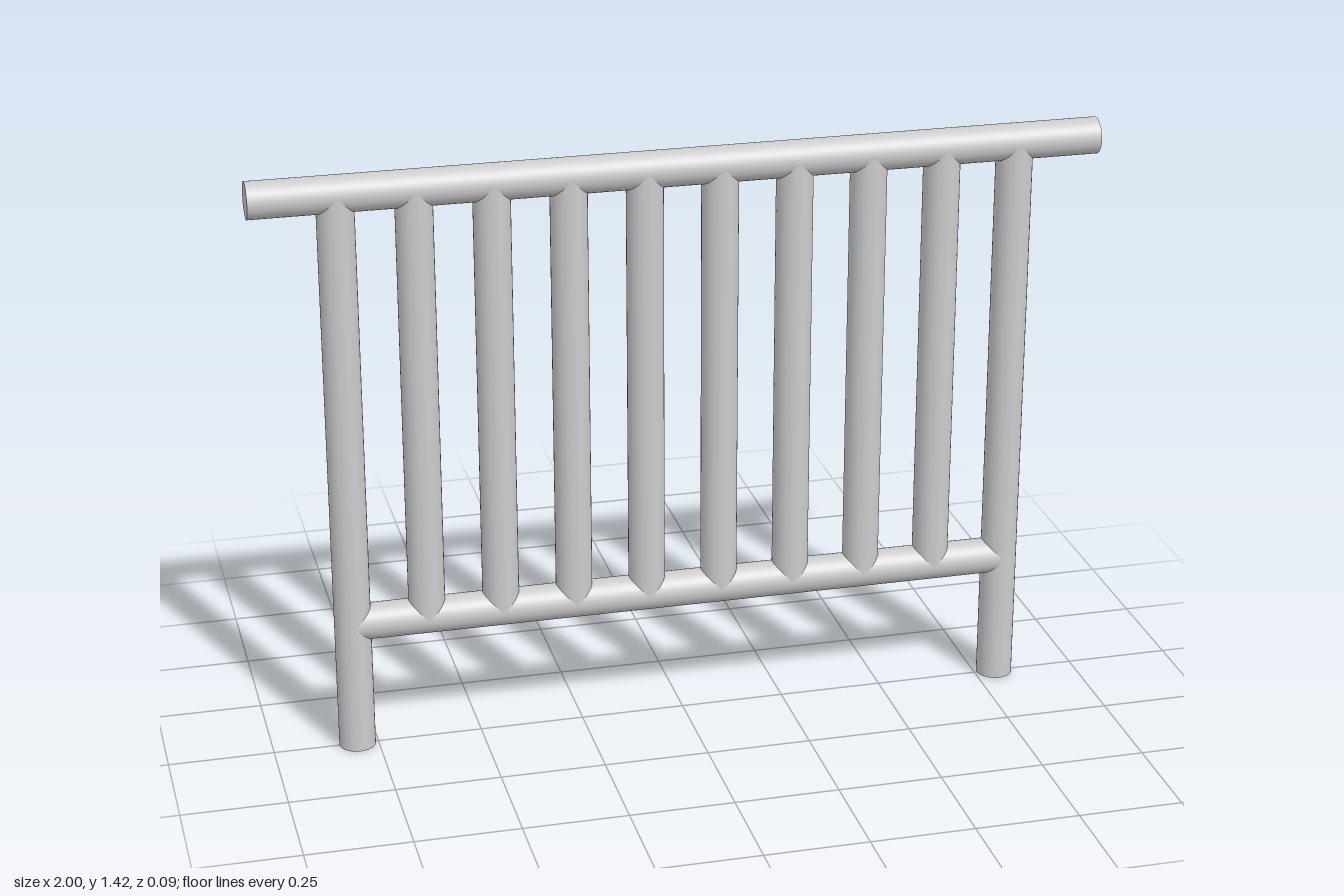
import * as THREE from 'three';

const R = 0.0435;      // shared pipe radius
const TOP = 1.38;      // top rail axis height
const LOW = 0.32;      // bottom rail axis height
const POST_X = 0.8;    // post axis distance from the centre
const BAYS = 9;        // gaps between uprights

const material = new THREE.MeshStandardMaterial({ color: 0xcccccc });

// Pipe along y from y0 to y1. A coped end is saddle-cut to fit an equal pipe
// crossing along x, and stays open because it meets that pipe's surface.
function pipe(name, y0, y1, copeStart, copeEnd) {
  const length = y1 - y0;
  const open = copeStart && copeEnd;
  const geometry = new THREE.CylinderGeometry(R, R, length, 32, 1, open);
  const p = geometry.attributes.position;
  for (let i = 0; i < p.count; i++) {
    const x = Math.abs(p.getX(i));
    if (p.getY(i) > 0 && copeEnd) p.setY(i, length / 2 - x);
    if (p.getY(i) < 0 && copeStart) p.setY(i, -length / 2 + x);
  }
  geometry.translate(0, (y0 + y1) / 2, 0);
  const mesh = new THREE.Mesh(geometry, material);
  mesh.name = name;
  return mesh;
}

export function createModel() {
  const group = new THREE.Group();
  group.name = 'railing';

  // Horizontal rails
  const topRail = pipe('topRail', -1, 1, false, false);
  topRail.rotation.z = Math.PI / 2;
  topRail.position.y = TOP;
  const bottomRail = pipe('bottomRail', -POST_X, POST_X, true, true);
  bottomRail.rotation.z = Math.PI / 2;
  bottomRail.position.y = LOW;
  group.add(topRail, bottomRail);

  // Evenly spaced uprights: full-height posts at the ends, balusters between
  for (let i = 0; i <= BAYS; i++) {
    const isPost = i === 0 || i === BAYS;
    const upright = isPost
      ? pipe(i === 0 ? 'rightPost' : 'leftPost', 0, TOP, false, true)
      : pipe('baluster' + i, LOW, TOP, true, true);
    upright.position.x = -POST_X + (2 * POST_X * i) / BAYS;
    group.add(upright);
  }
  return group;
}
